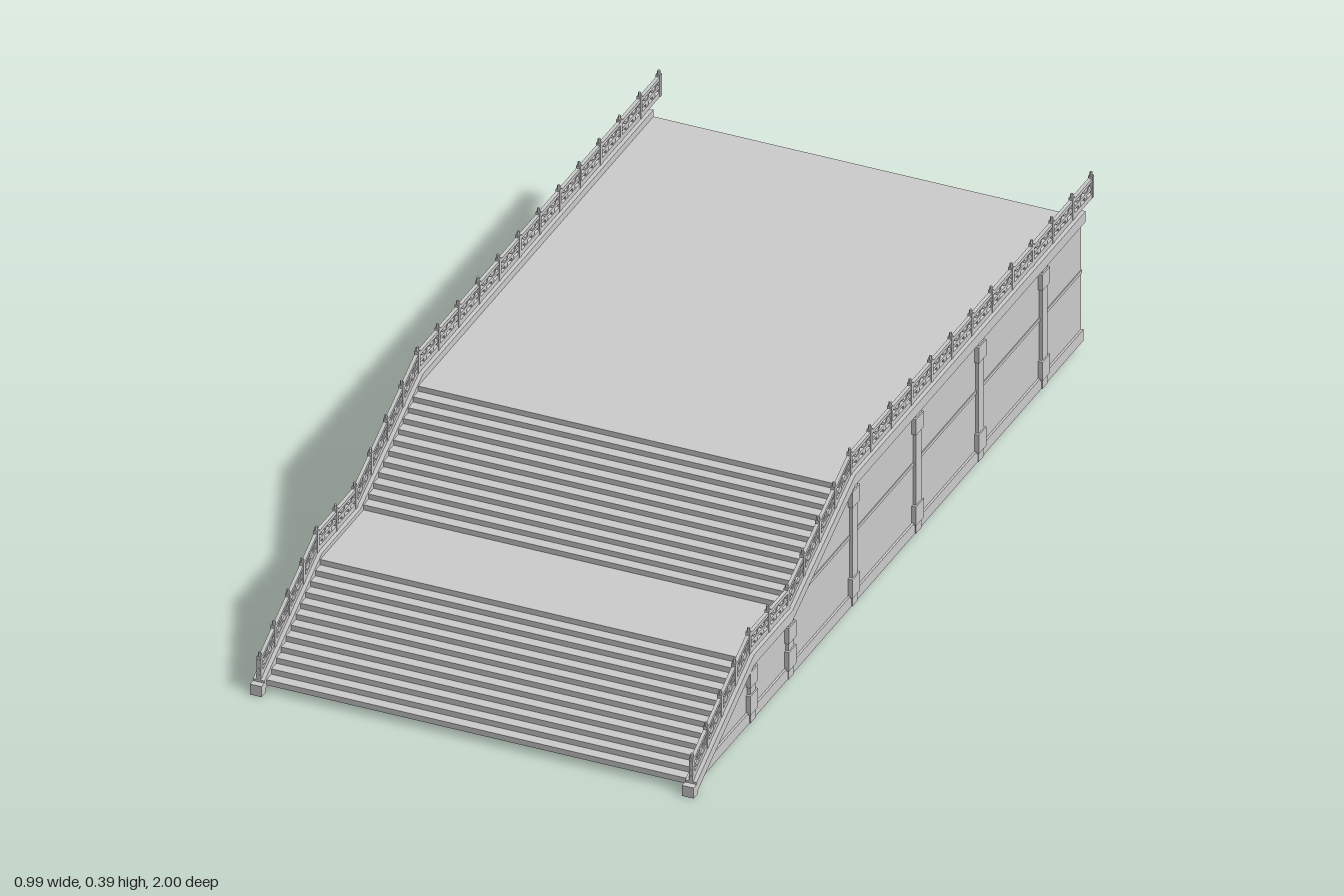
import * as THREE from 'three';

const grey = new THREE.MeshStandardMaterial({ color: 0xcccccc, flatShading: true, side: THREE.DoubleSide });

// Line followed by the curbs and railings, as [z, y]
const curbLine = [[0.985, 0.03], [0.7, 0.178], [0.51, 0.178], [0.2, 0.33], [-0.94, 0.33]];
const railLine = [...curbLine.slice(0, 4), [-1, 0.33]];

function add(parent, geometry, name) {
  const mesh = new THREE.Mesh(geometry, grey);
  mesh.name = name;
  parent.add(mesh);
  return mesh;
}

function box(parent, name, w, h, d, x, y, z) {
  add(parent, new THREE.BoxGeometry(w, h, d), name).position.set(x, y, z);
}

// Side outline of [z, y] points given a thickness along x
function slab(parent, name, outline, x, thickness) {
  const shape = new THREE.Shape(outline.map(([z, y]) => new THREE.Vector2(-z, y)));
  const g = new THREE.ExtrudeGeometry(shape, { depth: thickness, bevelEnabled: false });
  g.rotateY(Math.PI / 2);
  g.translate(x - thickness / 2, 0, 0);
  add(parent, g, name);
}

// Band running along a line between two height offsets
function band(parent, name, line, low, high, x, thickness) {
  const bottom = line.map(([z, y]) => [z, y + low]);
  const top = line.map(([z, y]) => [z, y + high]).reverse();
  slab(parent, name, [...bottom, ...top], x, thickness);
}

function heightAt(z) {
  for (let i = 0; i < railLine.length - 1; i++) {
    const [z0, y0] = railLine[i], [z1, y1] = railLine[i + 1];
    if (z <= z0 && z >= z1) return y0 + (y1 - y0) * (z0 - z) / (z0 - z1);
  }
  return railLine[0][1];
}

// Thin folded sheet spanning the width, for flights and floors
function sheet(parent, name, profile) {
  const w = 0.475, pos = [];
  for (let i = 0; i < profile.length - 1; i++) {
    const [z0, y0] = profile[i], [z1, y1] = profile[i + 1];
    pos.push(-w, y0, z0, w, y0, z0, w, y1, z1, -w, y0, z0, w, y1, z1, -w, y1, z1);
  }
  const g = new THREE.BufferGeometry();
  g.setAttribute('position', new THREE.Float32BufferAttribute(pos, 3));
  g.computeVertexNormals();
  add(parent, g, name);
}

function flight(parent, name, z0, y0, z1, y1, steps) {
  const profile = [[z0, y0]];
  for (let i = 0; i < steps; i++) {
    const y = y0 + (y1 - y0) * (i + 1) / steps;
    profile.push([z0 + (z1 - z0) * i / steps, y], [z0 + (z1 - z0) * (i + 1) / steps, y]);
  }
  sheet(parent, name, profile);
}

function buildRailing(x) {
  const g = new THREE.Group();
  g.name = 'railing';
  band(g, 'bottomRail', railLine, 0, 0.012, x, 0.008);
  band(g, 'middleRail', railLine, 0.02, 0.027, x, 0.007);
  band(g, 'topRail', railLine, 0.039, 0.047, x, 0.008);

  // Posts, evenly shared out over each stretch
  const posts = [];
  [[0.98, 0.7, 4], [0.7, 0.51, 2], [0.51, 0.2, 4], [0.2, -0.9, 11]].forEach(([a, b, n]) => {
    for (let i = 0; i < n; i++) posts.push(a + (b - a) * i / n);
  });
  posts.push(-0.9, -0.995);
  posts.forEach((z, i) => {
    const y = heightAt(z);
    box(g, 'post', 0.01, 0.052, 0.009, x, y + 0.026, z);
    const tip = add(g, new THREE.CylinderGeometry(0.003, 0.004, 0.01, 6), 'postTip');
    tip.position.set(x, y + 0.056, z);
    if (i === posts.length - 1) return;

    // Short struts and slanted brackets filling each bay
    const next = posts[i + 1], len = z - next;
    [0.33, 0.67].forEach(t => {
      const s = z - len * t;
      box(g, 'strut', 0.006, 0.01, 0.012, x, heightAt(s) + 0.016, s);
    });
    [[0.12, 0.3], [0.5, 0.32], [0.5, 0.68], [0.88, 0.7]].forEach(([top, foot]) => {
      const zt = z - len * top, zf = z - len * foot;
      const yt = heightAt(zt) + 0.04, yf = heightAt(zf) + 0.026;
      slab(g, 'bracket', [[zt + 0.003, yt], [zf + 0.003, yf], [zf - 0.003, yf], [zt - 0.003, yt]], x, 0.005);
    });
  });
  return g;
}

function buildSide(sign) {
  const g = new THREE.Group();
  g.name = sign > 0 ? 'leftSide' : 'rightSide';
  const x = 0.484 * sign;

  // Wall under the sloping curb
  slab(g, 'wall', [[0.945, 0.02], [0.7, 0.155], [0.51, 0.155], [0.2, 0.31], [-0.94, 0.31], [-0.94, 0.02]], x, 0.006);
  slab(g, 'plinth', [[0.955, 0.02], [0.91, 0.047], [-0.94, 0.047], [-0.94, 0.02]], x, 0.016);
  box(g, 'wallBand', 0.01, 0.008, 1.38, x, 0.185, -0.25);

  // Curb and its foot
  band(g, 'curb', curbLine, -0.025, 0, x, 0.026);
  box(g, 'curbFoot', 0.026, 0.025, 0.02, x, 0.0125, 0.99);

  // Pillars with base and cap blocks
  [0.7, 0.51, 0.195, -0.12, -0.43, -0.745].forEach(z => {
    const top = z > 0.3 ? 0.155 : 0.306;
    box(g, 'pillar', 0.02, top - 0.02, 0.026, x, (top + 0.02) / 2, z);
    box(g, 'pillarBase', 0.026, 0.045, 0.038, x, 0.065, z);
    box(g, 'pillarCap', 0.026, 0.038, 0.038, x, top - 0.029, z);
  });

  g.add(buildRailing(x));
  return g;
}

export function createModel() {
  const model = new THREE.Group();
  model.name = 'stairwayTerrace';

  // Two flights, the landing between them and the long deck
  flight(model, 'lowerSteps', 0.975, 0.015, 0.685, 0.168, 12);
  sheet(model, 'landing', [[0.685, 0.168], [0.495, 0.168]]);
  flight(model, 'upperSteps', 0.495, 0.168, 0.2, 0.314, 12);
  sheet(model, 'deck', [[0.2, 0.314], [-0.94, 0.314]]);

  model.add(buildSide(1), buildSide(-1));
  return model;
}
